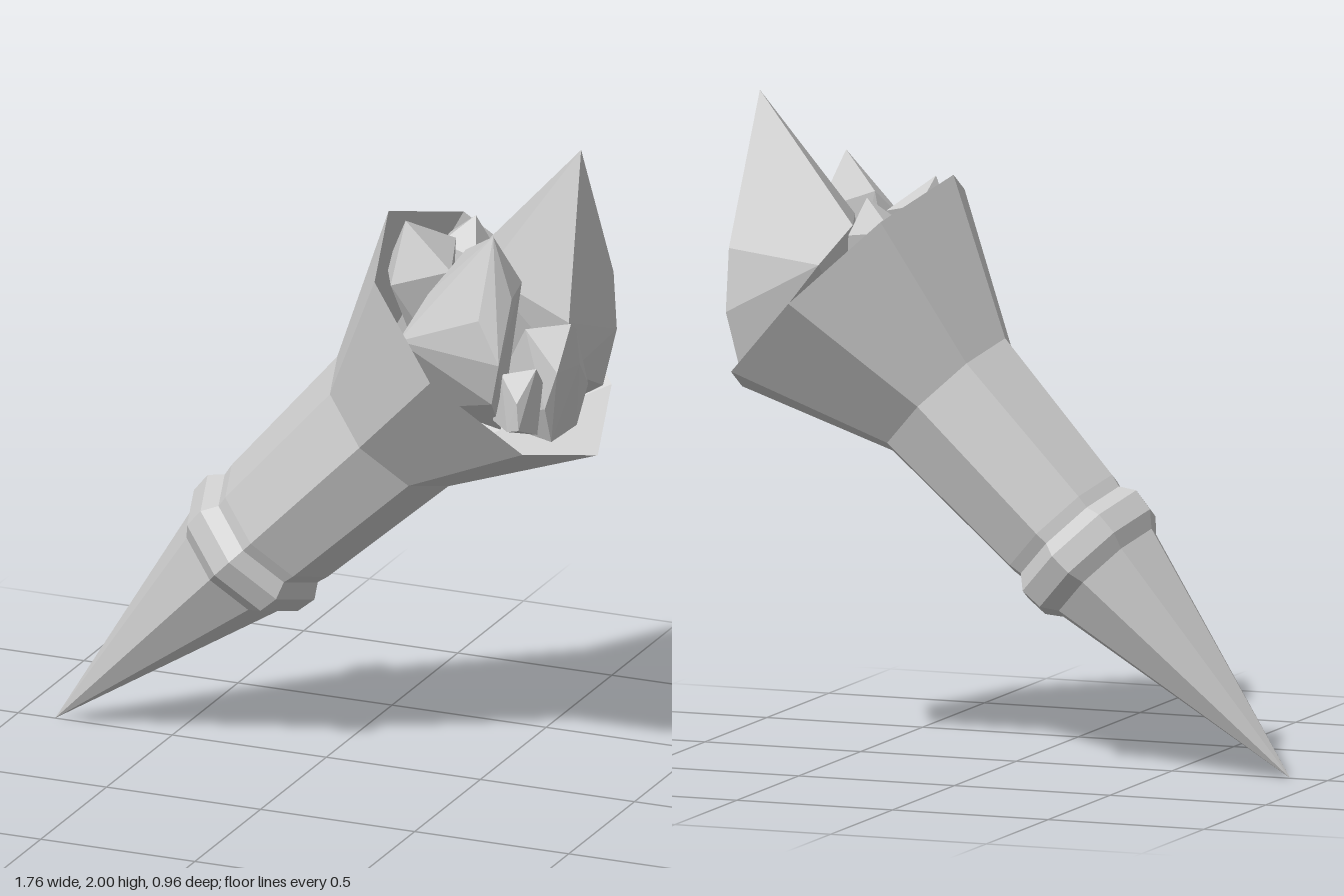
import * as THREE from 'three';
import { ConvexGeometry } from 'three/addons/geometries/ConvexGeometry.js';

export function createModel() {
  const model = new THREE.Group();
  const material = new THREE.MeshStandardMaterial({ color: 0xcccccc, flatShading: true });
  const shellMaterial = material.clone();
  shellMaterial.side = THREE.DoubleSide;

  // Octagonal horn: [radius, distance along the axis from the tip]
  const profile = [
    [0, 0], [0.2, 0.83],                               // spike
    [0.238, 0.875], [0.245, 0.945], [0.212, 0.99],     // collar
    [0.22, 1.03], [0.255, 1.55], [0.48, 2.01],         // body and flared rim
  ].map(([r, s]) => new THREE.Vector2(r, s));
  const horn = new THREE.Mesh(new THREE.LatheGeometry(profile, 8), shellMaterial);
  horn.name = 'horn';
  horn.position.x = -0.88;
  horn.rotation.z = -Math.PI / 4;
  model.add(horn);

  // Faceted crystals held in the mouth, each the hull of a few corners
  const crystals = {
    largeCrystal: [
      [0.78, 2, -0.11], [0.8, 1.55, -0.31], [0.8, 1.36, -0.335], [0.77, 1.19, -0.3],
      [0.5, 1.52, -0.34], [0.43, 1.63, -0.24], [0.53, 1.62, 0.03], [0.8, 1.5, 0.03],
      [0.79, 1.33, 0], [0.45, 1.2, -0.1], [0.62, 1.12, -0.12],
    ],
    frontCrystal: [
      [0.61, 1.79, 0.16], [0.47, 1.69, 0.04], [0.66, 1.62, 0.06], [0.67, 1.6, 0.16],
      [0.67, 1.42, 0.26], [0.6, 1.55, 0.25], [0.39, 1.57, 0.14], [0.34, 1.45, 0.25],
      [0.63, 1.28, 0.22], [0.4, 1.2, 0.1], [0.6, 1.15, 0.08],
    ],
    innerCrystal: [
      [0.27, 1.75, 0.03], [0.37, 1.66, -0.12], [0.27, 1.68, -0.1], [0.22, 1.64, 0.01],
      [0.43, 1.62, 0.06], [0.29, 1.6, 0.19], [0.23, 1.6, 0.07], [0.35, 1.2, 0], [0.42, 1.3, 0.05],
    ],
    backCrystal: [
      [0.4, 1.71, -0.2], [0.29, 1.62, -0.27], [0.44, 1.6, -0.25], [0.43, 1.6, -0.13],
      [0.31, 1.63, -0.14], [0.4, 1.25, -0.1], [0.48, 1.3, -0.18],
    ],
    lowCrystal: [
      [0.82, 1.51, 0.06], [0.68, 1.48, 0.08], [0.82, 1.48, 0.02], [0.8, 1.37, 0.12],
      [0.81, 1.35, -0.03], [0.79, 1.25, -0.14], [0.77, 1.13, -0.1], [0.76, 1.13, 0.07],
      [0.76, 1.25, 0.12], [0.5, 1.15, 0],
    ],
    smallCrystal: [
      [0.75, 1.39, 0.16], [0.64, 1.36, 0.17], [0.75, 1.33, 0.11], [0.72, 1.3, 0.24],
      [0.73, 1.22, 0.25], [0.74, 1.17, 0.13], [0.68, 1.2, 0.22], [0.6, 1.2, 0.14],
    ],
  };
  for (const [name, corners] of Object.entries(crystals)) {
    const points = corners.map((c) => new THREE.Vector3(...c));
    const crystal = new THREE.Mesh(new ConvexGeometry(points), material);
    crystal.name = name;
    model.add(crystal);
  }
  return model;
}
